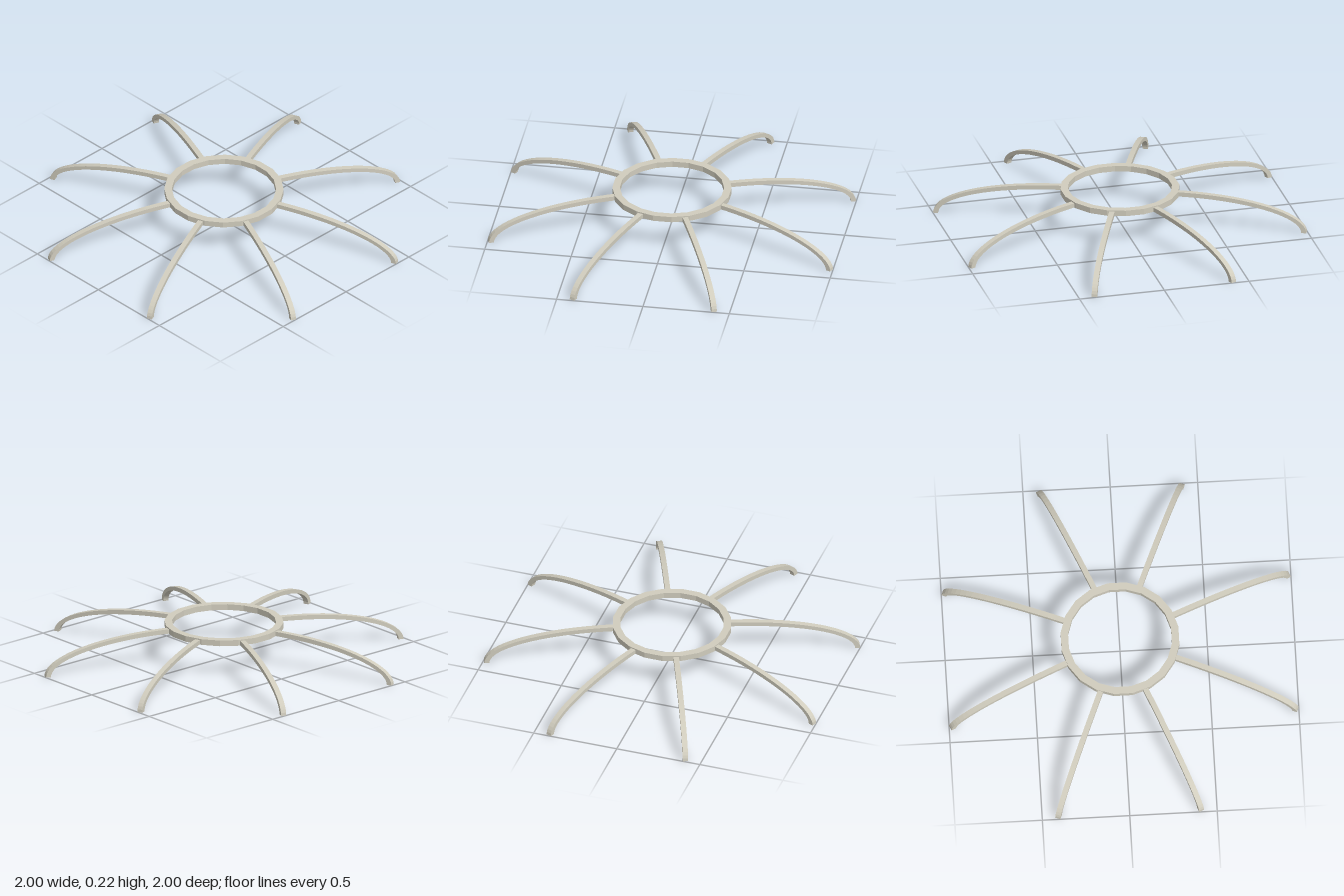
import * as THREE from 'three';

const RIBS = 8, RIB_WIDTH = 0.031, RING_SIDES = 20, ARC_CENTRE = 0.316;
const material = new THREE.MeshStandardMaterial({ color: 0xd0ccbd, flatShading: true });

// Quarter ellipse from its level top at the hub ring down to the foot (y = 0)
function arc(a, b, steps = 20) {
  return Array.from({ length: steps + 1 }, (_, i) => {
    const t = (Math.PI / 2) * (1 - i / steps);
    return new THREE.Vector2(ARC_CENTRE + a * Math.cos(t), b * Math.sin(t));
  });
}

export function createModel() {
  const model = new THREE.Group();

  // Faceted hub ring with a rectangular section, flat sides facing the axes
  const section = [[0.298, 0.185], [0.341, 0.185], [0.341, 0.219], [0.298, 0.219], [0.298, 0.185]]
    .map(([r, y]) => new THREE.Vector2(r, y));
  const ring = new THREE.Mesh(new THREE.LatheGeometry(section, RING_SIDES, Math.PI / RING_SIDES), material);
  ring.name = 'hubRing';
  model.add(ring);

  // Curved ribs radiating from the ring down to the ground
  const outline = [...arc(0.76, 0.212), ...arc(0.731, 0.186).reverse()];
  const ribGeometry = new THREE.ExtrudeGeometry(new THREE.Shape(outline), {
    depth: RIB_WIDTH, bevelEnabled: false,
  });
  ribGeometry.translate(0, 0, -RIB_WIDTH / 2);
  for (let i = 0; i < RIBS; i++) {
    const rib = new THREE.Mesh(ribGeometry, material);
    rib.name = `rib${i + 1}`;
    rib.rotation.y = ((i + 0.5) / RIBS) * Math.PI * 2;
    model.add(rib);
  }
  return model;
}
